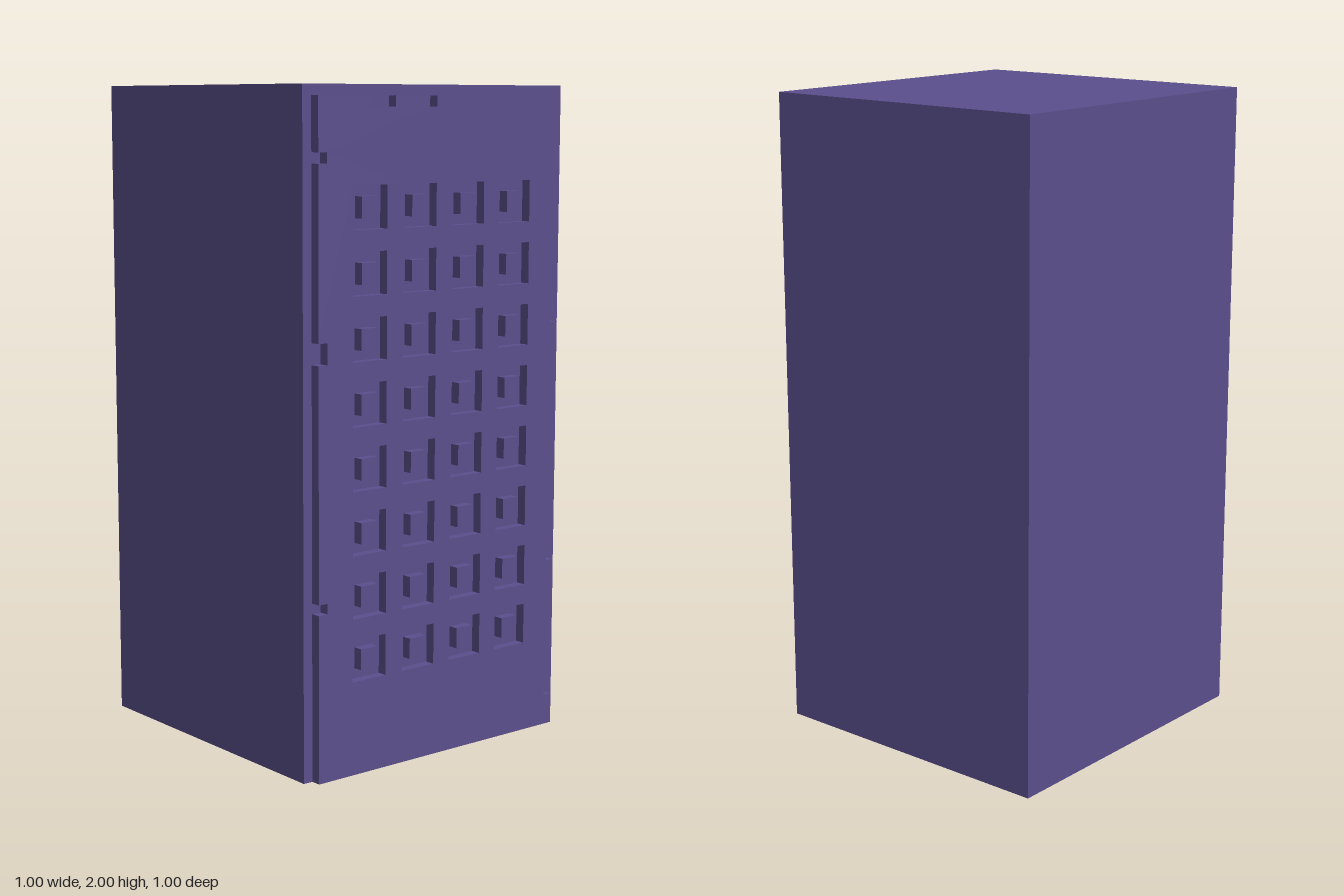
import * as THREE from 'three';

const U = 1 / 32; // building unit

export function createModel() {
  const model = new THREE.Group();
  const purple = new THREE.MeshStandardMaterial({ color: 0x5b4f8c });
  purple.name = 'purple';

  const add = (name, geometry, x, y, z) => {
    const mesh = new THREE.Mesh(geometry, purple);
    mesh.name = name;
    mesh.position.set(x, y, z);
    model.add(mesh);
  };

  // Tower body
  add('towerBody', new THREE.BoxGeometry(1, 2, 31 * U), 0, 1, -U / 2);

  // Facade outline in units, with chipped notches one unit deep along its edges
  const W = 15, H = 63;
  const rightNotches = [[3, 4], [17, 19], [41, 42], [59, 60]];
  const topNotches = [[-1, -2], [-6, -9]];
  const leftNotches = [[58, 57], [41, 39], [17, 16]];
  const outline = [[-W, 0], [W, 0]];
  for (const [a, b] of rightNotches) outline.push([W, a], [W - 1, a], [W - 1, b], [W, b]);
  outline.push([W, H]);
  for (const [a, b] of topNotches) outline.push([a, H], [a, H - 1], [b, H - 1], [b, H]);
  outline.push([-W, H]);
  for (const [a, b] of leftNotches) outline.push([-W, a], [-W + 1, a], [-W + 1, b], [-W, b]);
  const facade = new THREE.Shape(outline.map(([x, y]) => new THREE.Vector2(x * U, y * U)));

  // Recessed windows, each with a square block in the middle
  const blockGeometry = new THREE.BoxGeometry(2 * U, 2 * U, U);
  for (let row = 0; row < 8; row++) {
    for (let col = 0; col < 4; col++) {
      const x = -9 + 6 * col, y = 11 + 6 * row;
      const corners = [[-2, -2], [-2, 2], [2, 2], [2, -2]];
      facade.holes.push(new THREE.Path(
        corners.map(([dx, dy]) => new THREE.Vector2((x + dx) * U, (y + dy) * U))));
      add('windowBlock', blockGeometry, x * U, y * U, 15.5 * U);
    }
  }

  // Facade panel
  add('facadePanel', new THREE.ExtrudeGeometry(facade, { depth: U, bevelEnabled: false }), 0, 0, 15 * U);

  return model;
}
